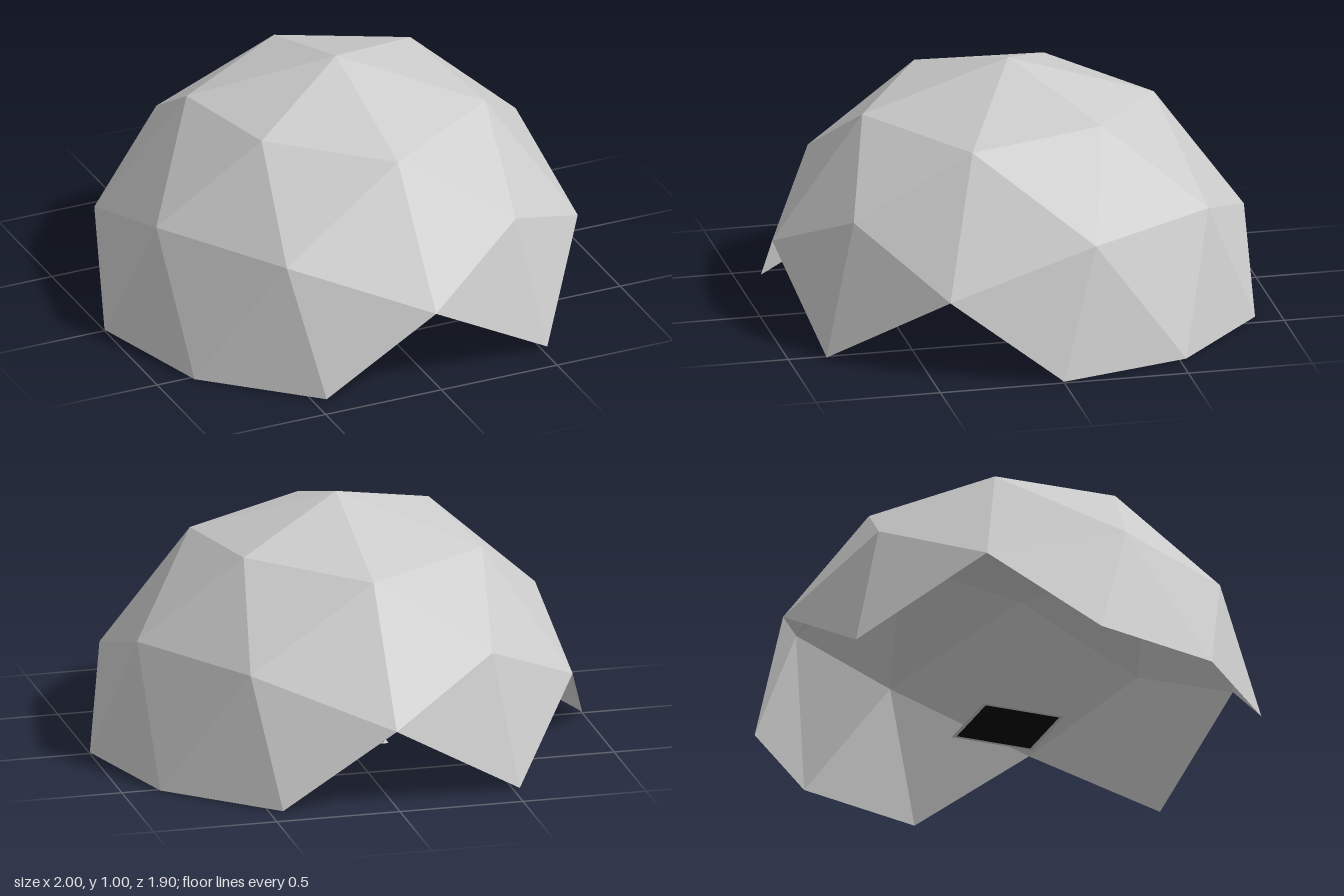
import * as THREE from 'three';

const BASE = 0.005; // lift of the dome above the floor plate
const PLATE = 0.17; // half side of the floor plate
const INNER = 0.155; // half side of its dark centre

const square = (h, Type) => new Type([
  new THREE.Vector2(-h, -h), new THREE.Vector2(h, -h),
  new THREE.Vector2(h, h), new THREE.Vector2(-h, h),
]);

// Keep only the triangles lying wholly on or above the equator
function upperFaces(geometry) {
  const p = geometry.attributes.position;
  const kept = [];
  for (let i = 0; i < p.count; i += 3) {
    if ([0, 1, 2].every((k) => p.getY(i + k) > -0.001)) {
      for (let k = 0; k < 3; k++) kept.push(p.getX(i + k), p.getY(i + k), p.getZ(i + k));
    }
  }
  const result = new THREE.BufferGeometry();
  result.setAttribute('position', new THREE.Float32BufferAttribute(kept, 3));
  result.computeVertexNormals();
  return result;
}

export function createModel() {
  const grey = new THREE.MeshStandardMaterial({
    name: 'light grey', color: 0xcccccc, side: THREE.DoubleSide, flatShading: true,
  });
  const black = new THREE.MeshStandardMaterial({
    name: 'black', color: 0x050505, side: THREE.DoubleSide,
  });

  const model = new THREE.Group();
  model.name = 'geodesicDome';

  const add = (name, geometry, material, y) => {
    const mesh = new THREE.Mesh(geometry, material);
    mesh.name = name;
    mesh.position.y = y;
    model.add(mesh);
  };

  // Two-frequency geodesic shell; the faces crossing the equator leave four arches
  const shell = upperFaces(new THREE.IcosahedronGeometry(1, 1));
  shell.rotateY(Math.atan(2 / (1 + Math.sqrt(5))));
  add('domeShell', shell, grey, BASE);

  // Small square floor plate with a pale rim
  const rim = square(PLATE, THREE.Shape);
  rim.holes.push(square(INNER, THREE.Path));
  add('plateRim', new THREE.ShapeGeometry(rim).rotateX(Math.PI / 2), grey, 0);
  add('plateCentre', new THREE.ShapeGeometry(square(INNER, THREE.Shape)).rotateX(Math.PI / 2), black, 0);

  return model;
}
